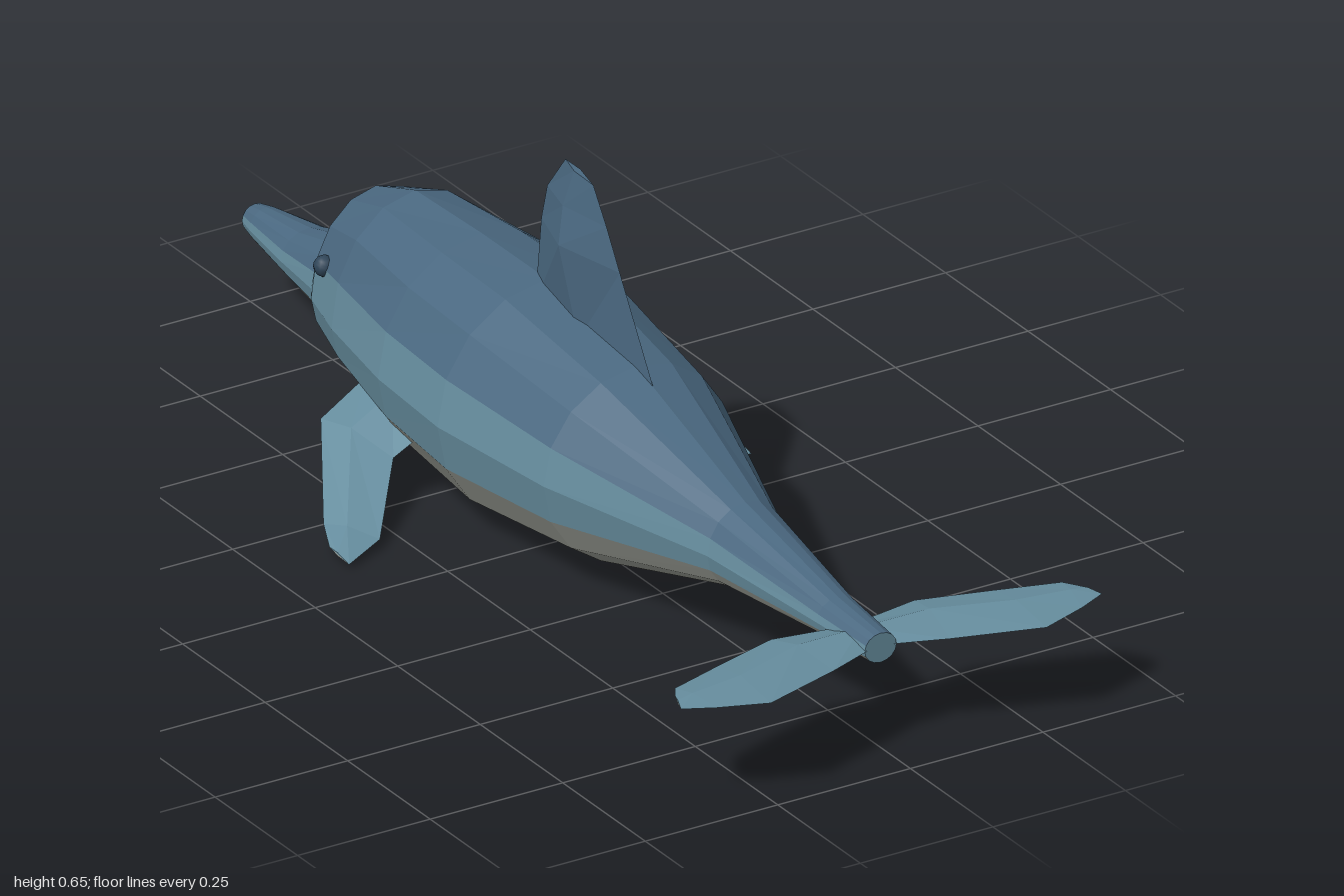
import * as THREE from 'three';

const material = (name, color) => {
  const m = new THREE.MeshStandardMaterial({ color });
  m.name = name;
  return m;
};

// Flat-faced mesh from a list of triangle corners
function facetMesh(name, corners, mat) {
  const g = new THREE.BufferGeometry().setFromPoints(corners);
  g.computeVertexNormals();
  const mesh = new THREE.Mesh(g, mat);
  mesh.name = name;
  return mesh;
}

// Body rings, tail to snout: z, top y, widest y, bottom y, half width
const RINGS = [
  [0.91, 0.207, 0.181, 0.155, 0.03],
  [0.78, 0.218, 0.182, 0.148, 0.04],
  [0.5, 0.27, 0.192, 0.122, 0.072],
  [0.17, 0.375, 0.205, 0.032, 0.175],
  [-0.1, 0.418, 0.207, 0.003, 0.207],
  [-0.3, 0.417, 0.207, 0.022, 0.195],
  [-0.5, 0.41, 0.203, 0.065, 0.158],
  [-0.62, 0.368, 0.198, 0.09, 0.122],
  [-0.695, 0.245, 0.172, 0.103, 0.075],
  [-0.82, 0.21, 0.164, 0.117, 0.055],
  [-0.95, 0.192, 0.16, 0.13, 0.033],
  [-0.985, 0.184, 0.159, 0.135, 0.025],
  [-1.0, 0.172, 0.158, 0.143, 0.013],
];
const SIDES = 16;

function buildBody(back, side, belly) {
  const rings = RINGS.map(([z, top, mid, bottom, w]) =>
    Array.from({ length: SIDES }, (_, k) => {
      const a = (k / SIDES) * Math.PI * 2, s = Math.sin(a);
      return new THREE.Vector3(Math.cos(a) * w, mid + s * (s > 0 ? top - mid : mid - bottom), z);
    }));
  const bands = { back: [], side: [], belly: [] };
  const bandOf = (k) => (k >= 1 && k <= 6 ? bands.back : k >= 9 && k <= 14 ? bands.belly : bands.side);
  const last = rings.length - 1;
  const tailCentre = new THREE.Vector3(0, RINGS[0][2], RINGS[0][0]);
  const noseCentre = new THREE.Vector3(0, RINGS[last][2], RINGS[last][0]);
  for (let k = 0; k < SIDES; k++) {
    const n = (k + 1) % SIDES;
    for (let i = 0; i < last; i++) {
      const a = rings[i][k], b = rings[i][n], c = rings[i + 1][n], d = rings[i + 1][k];
      bandOf(k).push(a, d, c, a, c, b);
    }
    // End caps
    bands.side.push(tailCentre, rings[0][k], rings[0][n]);
    bandOf(k).push(noseCentre, rings[last][n], rings[last][k]);
  }
  const body = new THREE.Group();
  body.name = 'body';
  body.add(
    facetMesh('back', bands.back, back),
    facetMesh('flanks', bands.side, side),
    facetMesh('belly', bands.belly, belly));
  return body;
}

// Fin with diamond cross-sections from root to tip.
// Each section: [leading point, trailing point, half thickness]
function buildFin(name, sections, up, upperMat, lowerMat, mirror = 1) {
  const loops = sections.map(([lead, trail, t]) => {
    const l = new THREE.Vector3(...lead), r = new THREE.Vector3(...trail);
    const mid = l.clone().lerp(r, 0.42);
    const loop = [l, mid.clone().addScaledVector(up, t), r, mid.clone().addScaledVector(up, -t)];
    loop.forEach((p) => { p.x *= mirror; });
    return loop;
  });
  const faces = [[], []];
  const tri = (list, a, b, c) => (mirror > 0 ? list.push(a, b, c) : list.push(a, c, b));
  for (let i = 0; i < loops.length - 1; i++) {
    for (let k = 0; k < 4; k++) {
      const n = (k + 1) % 4, list = faces[k < 2 ? 0 : 1];
      tri(list, loops[i][k], loops[i][n], loops[i + 1][n]);
      tri(list, loops[i][k], loops[i + 1][n], loops[i + 1][k]);
    }
  }
  // Tip cap
  const [a, b, c, d] = loops[loops.length - 1];
  tri(faces[0], a, b, c);
  tri(faces[1], a, c, d);
  const fin = new THREE.Group();
  fin.name = name;
  fin.add(facetMesh(name + 'Upper', faces[0], upperMat), facetMesh(name + 'Lower', faces[1], lowerMat));
  return fin;
}

export function createModel() {
  const back = material('slate blue back', 0x4a6880);
  const side = material('light blue side', 0x668d9e);
  const belly = material('grey belly', 0xa4a79e);
  const eyeMat = material('dark eye', 0x2f4558);

  const model = new THREE.Group();
  model.name = 'dolphin';
  model.add(buildBody(back, side, belly));

  // Dorsal fin
  model.add(buildFin('dorsalFin', [
    [[0, 0.36, -0.137], [0, 0.36, 0.22], 0.012],
    [[0, 0.52, -0.118], [0, 0.52, 0.12], 0.03],
    [[0, 0.585, -0.1], [0, 0.585, 0.08], 0.018],
    [[0, 0.655, -0.045], [0, 0.643, 0.04], 0.006],
  ], new THREE.Vector3(-1, 0, 0), back, back));

  const up = new THREE.Vector3(0, 1, 0);
  for (const [label, s] of [['left', 1], ['right', -1]]) {
    // Flipper, swept back and down
    model.add(buildFin(label + 'Flipper', [
      [[0.14, 0.15, -0.42], [0.14, 0.125, -0.24], 0.012],
      [[0.25, 0.115, -0.385], [0.2, 0.09, -0.245], 0.013],
      [[0.36, 0.033, -0.2], [0.3, 0.021, -0.125], 0.008],
      [[0.38, 0.018, -0.15], [0.38, 0.011, -0.09], 0.003],
    ], up, side, belly, s));

    // Tail fluke
    model.add(buildFin(label + 'Fluke', [
      [[0, 0.181, 0.815], [0, 0.181, 0.9], 0.012],
      [[0.135, 0.183, 0.795], [0.11, 0.183, 0.945], 0.014],
      [[0.26, 0.185, 0.835], [0.26, 0.185, 0.995], 0.011],
      [[0.365, 0.188, 0.873], [0.345, 0.187, 0.967], 0.006],
      [[0.38, 0.188, 0.898], [0.397, 0.188, 0.943], 0.003],
    ], up, side, belly, s));

    // Eye
    const eye = new THREE.Mesh(new THREE.SphereGeometry(0.018, 10, 8), eyeMat);
    eye.name = label + 'Eye';
    eye.position.set(s * 0.122, 0.273, -0.58);
    model.add(eye);
  }
  return model;
}
